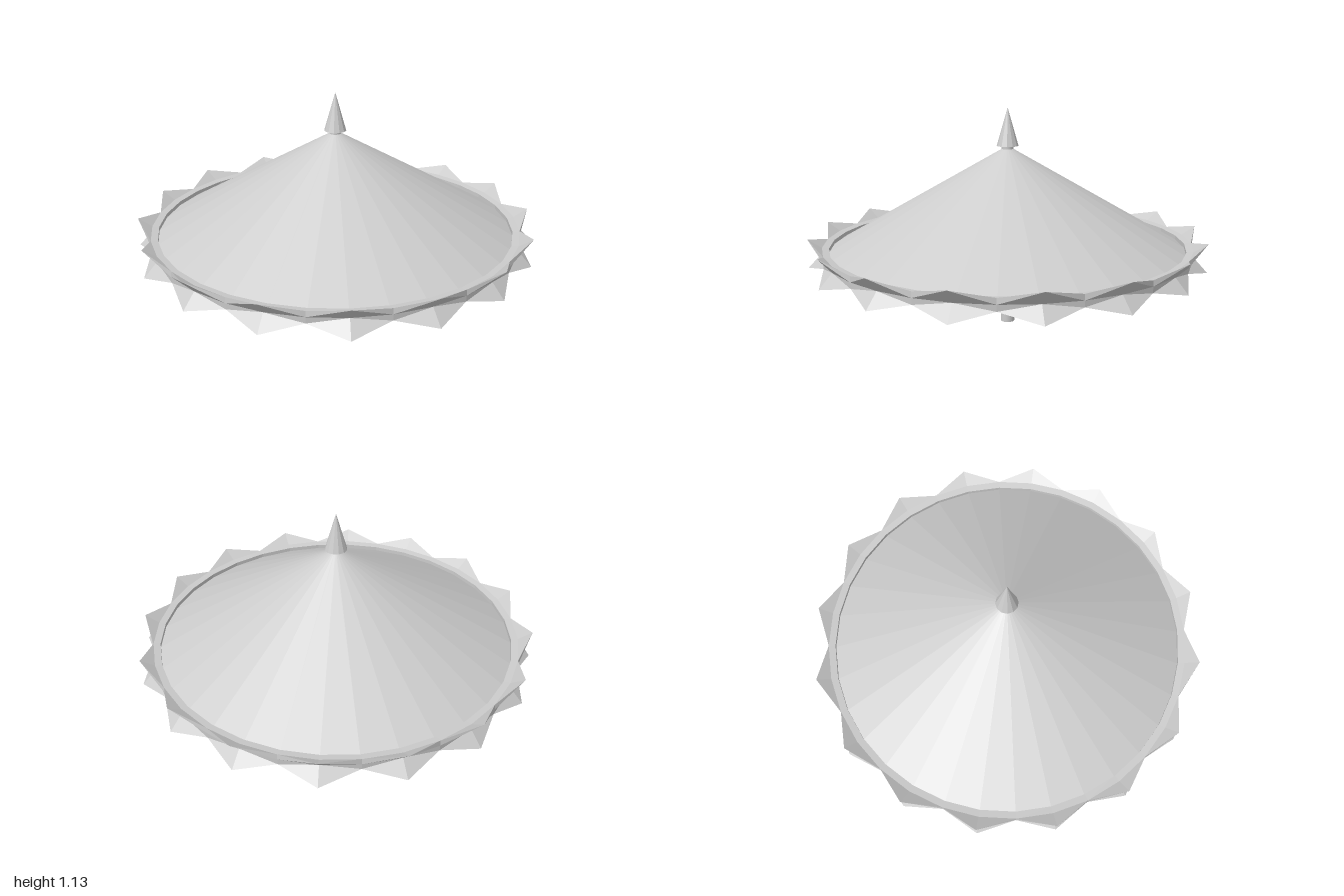
import * as THREE from 'three';

const flat = new THREE.MeshStandardMaterial({ color: 0xcccccc, flatShading: true });
const smooth = new THREE.MeshStandardMaterial({ color: 0xcccccc });

// Ring whose outer edge flares up and down into 16 pointed scallops
function scallopedRing(points) {
  const steps = points * 2, pos = [];
  const section = (i) => {
    const peak = i % 2, a = (i / steps) * Math.PI * 2;
    const tip = peak ? 1.02 : 0.95;
    const profile = [
      [0.915, 0.43], [0.95, 0.435], [tip, peak ? 0.48 : 0.435], [0.952, 0.406],
      [tip, peak ? 0.333 : 0.375], [0.95, 0.375], [0.915, 0.378],
    ];
    return profile.map(([r, y]) => [r * Math.sin(a), y, r * Math.cos(a)]);
  };
  for (let i = 0; i < steps; i++) {
    const s = section(i), t = section(i + 1), n = s.length;
    for (let j = 0; j < n; j++) {
      const k = (j + 1) % n;
      // the diagonal alternates so every scallop is symmetric
      if (i % 2) pos.push(...s[j], ...s[k], ...t[k], ...s[j], ...t[k], ...t[j]);
      else pos.push(...s[j], ...s[k], ...t[j], ...s[k], ...t[k], ...t[j]);
    }
  }
  const g = new THREE.BufferGeometry();
  g.setAttribute('position', new THREE.Float32BufferAttribute(pos, 3));
  g.computeVertexNormals();
  return g;
}

// Upright cylinder or cone between two heights
function post(rTop, rBottom, y0, y1, sides) {
  return new THREE.CylinderGeometry(rTop, rBottom, y1 - y0, sides).translate(0, (y0 + y1) / 2, 0);
}

export function createModel() {
  const group = new THREE.Group();
  const add = (name, geometry, material) => {
    const mesh = new THREE.Mesh(geometry, material);
    mesh.name = name;
    group.add(mesh);
  };

  // Conical canopy with a flat ceiling inside its crown
  const canopy = [[0, 0.73], [0.307, 0.73], [0.916, 0.38], [0.92, 0.406], [0.02, 0.925], [0, 0.93]];
  add('canopy', new THREE.LatheGeometry(canopy.map(([r, y]) => new THREE.Vector2(r, y)), 32), flat);
  add('scallopedRim', scallopedRing(16), flat);

  // Pole and grip
  add('pole', post(0.025, 0.025, 0.2, 0.74, 20), smooth);
  add('handle', post(0.036, 0.036, 0, 0.235, 20), smooth);

  // Finial on a short neck
  add('finialNeck', post(0.03, 0.03, 0.89, 0.94, 16), smooth);
  add('finial', post(0, 0.056, 0.935, 1.13, 12), flat);
  return group;
}
